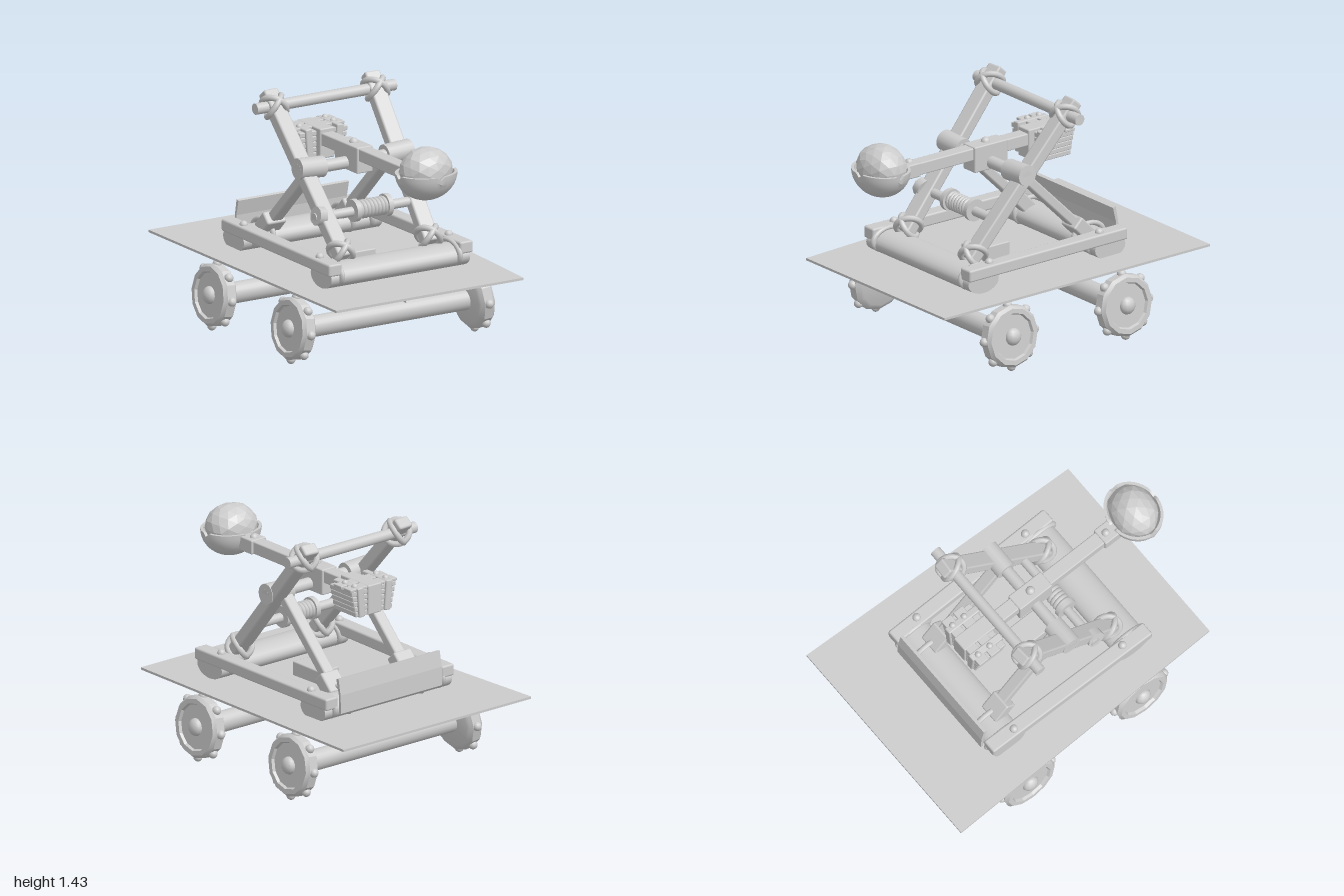
import * as THREE from 'three';
import { toCreasedNormals } from 'three/addons/utils/BufferGeometryUtils.js';
import { RoundedBoxGeometry } from 'three/addons/geometries/RoundedBoxGeometry.js';

const V = (x, y, z) => new THREE.Vector3(x, y, z);
const mat = new THREE.MeshStandardMaterial({ color: 0xcccccc });
const flat = new THREE.MeshStandardMaterial({ color: 0xcccccc, flatShading: true });
const thin = new THREE.MeshStandardMaterial({ color: 0xcccccc, side: THREE.DoubleSide });

export function createModel() {
  const model = new THREE.Group();
  model.name = 'catapult';

  const add = (name, geo, pos = V(0, 0, 0), m = mat, parent = model) => {
    const mesh = new THREE.Mesh(geo, m);
    mesh.name = name;
    mesh.position.copy(pos);
    parent.add(mesh);
    return mesh;
  };
  const box = (name, w, h, d, x, y, z, bevel = 0.008) =>
    add(name, new RoundedBoxGeometry(w, h, d, 1, bevel), V(x, y, z));
  // Cylinder lying along x, from x0 to x1
  const rod = (name, r, x0, x1, y, z, sides = 20) => {
    const mesh = add(name, new THREE.CylinderGeometry(r, r, x1 - x0, sides), V((x0 + x1) / 2, y, z));
    mesh.rotation.z = Math.PI / 2;
    return mesh;
  };
  // Squared beam between two points
  const beam = (name, a, b, w, h) => {
    const mesh = add(name, new RoundedBoxGeometry(w, h, a.distanceTo(b), 1, 0.012), a.clone().add(b).multiplyScalar(0.5));
    mesh.lookAt(b);
    return mesh;
  };
  const bolt = (x, y, z, r = 0.025, parent = model) =>
    add('bolt', new THREE.SphereGeometry(r, 12, 8), V(x, y, z), mat, parent);
  // Two rope rings crossing over a joint between a post and a crossbar
  const lashing = (p, dir, r) => [-1, 1].forEach((s) => {
    const ring = add('ropeLashing', new THREE.TorusGeometry(r, 0.018, 8, 24), p);
    ring.quaternion.setFromUnitVectors(V(0, 0, 1), dir.clone().add(V(s * 0.9, 0, 0)).normalize());
  });

  // Sloping, tapered deck
  const deck = new THREE.BoxGeometry(2, 0.014, 1.88);
  const dp = deck.attributes.position;
  for (let i = 0; i < dp.count; i++) {
    const t = (0.94 - dp.getZ(i)) / 1.88;
    dp.setX(i, dp.getX(i) * (0.635 + 0.06 * t));
    dp.setY(i, dp.getY(i) + 0.424 + 0.04 * t);
  }
  deck.translate(0, 0, -0.06);
  add('deck', toCreasedNormals(deck, 0.5));

  // Wheels leaning inward at the top, with studs round the tread and a hub cap
  const wheelProfile = [[0, -0.05], [0.15, -0.05], [0.168, -0.042], [0.185, -0.028], [0.185, 0.028],
    [0.168, 0.048], [0.14, 0.048], [0.132, 0.032], [0, 0.032]].map(([r, x]) => new THREE.Vector2(r, x));
  const wheelGeo = toCreasedNormals(new THREE.LatheGeometry(wheelProfile, 12).rotateZ(-Math.PI / 2), 0.45);
  for (const z of [0.385, -0.445]) {
    rod('axle', 0.062, -0.58, 0.58, 0.197, z, 24);
    for (const s of [-1, 1]) {
      const wheel = new THREE.Group();
      wheel.name = 'wheel';
      wheel.position.set(s * 0.605, 0.205, z);
      wheel.rotation.set(0, s < 0 ? Math.PI : 0, 0.1);
      add('rim', wheelGeo, V(0, 0, 0), mat, wheel);
      bolt(0.034, 0, 0, 0.052, wheel).scale.x = 0.75;
      for (let i = 0; i < 8; i++) {
        const a = i * Math.PI / 4;
        bolt(0, 0.182 * Math.cos(a), 0.182 * Math.sin(a), 0.027, wheel);
      }
      model.add(wheel);
    }
  }

  // Beam beneath the deck with a slanted nose, and its strap
  const spine = new THREE.Shape([[0.71, 0.345], [0.67, 0.425], [-0.36, 0.425], [-0.36, 0.355], [0.58, 0.355]]
    .map(([z, y]) => new THREE.Vector2(-z, y)));
  const spineGeo = new THREE.ExtrudeGeometry(spine, { depth: 0.1, bevelEnabled: false });
  add('spineBeam', spineGeo.translate(0, 0, -0.05).rotateY(Math.PI / 2));
  box('spineStrap', 0.15, 0.17, 0.24, 0, 0.445, 0.08);

  // Base frame: two logs carrying two side rails
  for (const z of [0.465, -0.455]) {
    const log = rod('baseLog', 1, -0.47, 0.47, 0.51, z, 24);
    log.scale.set(0.068, 1, 0.11);
  }
  for (const s of [-1, 1]) {
    beam('sideRail', V(s * 0.445, 0.568, 0.58), V(s * 0.43, 0.568, -0.58), 0.09, 0.072);
    for (const z of [0.4, -0.4]) bolt(s * 0.437, 0.605, z);
    for (const z of [0.465, -0.455]) {
      const ring = add('railLashing', new THREE.TorusGeometry(0.085, 0.016, 8, 24), V(s * 0.4, 0.525, z));
      ring.rotation.y = Math.PI / 2;
      ring.scale.set(1.3, 0.8, 1);
    }
  }

  // Bent tailboard
  const board = new THREE.Shape([[0.575, 0.5], [0.592, 0.5], [0.588, 0.61], [0.57, 0.705], [0.55, 0.7], [0.572, 0.61]]
    .map(([x, y]) => new THREE.Vector2(x, y)));
  const boardGeo = new THREE.ExtrudeGeometry(board, { depth: 0.75, bevelEnabled: false });
  add('tailboard', boardGeo.translate(0, 0, -0.375).rotateY(Math.PI / 2));

  // Leaning posts, rear braces and their fittings
  for (const s of [-1, 1]) {
    const foot = V(s * 0.295, 0.585, 0.43), head = V(s * 0.347, 1.41, -0.285);
    const dir = head.clone().sub(foot).normalize();
    beam('post', foot, head, 0.1, 0.072);
    lashing(foot.clone().addScaledVector(dir, 0.04), dir, 0.072);
    lashing(V(s * 0.343, 1.335, -0.225), dir, 0.074);
    beam('brace', V(s * 0.262, 1.03, 0.06), V(s * 0.262, 0.55, -0.43), 0.075, 0.06);
    const shoe = beam('braceShoe', V(s * 0.27, 0.645, -0.33), V(s * 0.27, 0.55, -0.425), 0.13, 0.085);
    shoe.name = 'braceShoe';
    const ring = add('braceLashing', new THREE.TorusGeometry(0.085, 0.016, 8, 24), V(s * 0.27, 0.525, -0.455));
    ring.rotation.y = Math.PI / 2;
    ring.scale.set(1.25, 0.9, 1);
    const collar = rod('pivotCollar', 0.062, s * 0.295 - 0.085, s * 0.295 + 0.085, 1.035, 0.075, 16);
    collar.rotation.z += s * 0.05;
  }
  rod('topBar', 0.033, -0.47, 0.475, 1.335, -0.23);
  rod('pivotBar', 0.036, -0.38, 0.38, 1.03, 0.078);

  // Winch with rope coil, flanges and crank block
  rod('winchBar', 0.028, -0.38, 0.3, 0.79, 0.25);
  for (const s of [-1, 1]) rod('winchFlange', 0.066, s * 0.108 - 0.015, s * 0.108 + 0.015, 0.795, 0.25);
  for (let i = 0; i < 8; i++) {
    const turn = add('ropeTurn', new THREE.TorusGeometry(0.042, 0.014, 8, 20), V(-0.084 + i * 0.024, 0.795, 0.25));
    turn.rotation.y = Math.PI / 2 + 0.08;
  }
  const crank = rod('crank', 0.056, -0.375, -0.325, 0.8, 0.26, 8);
  crank.rotation.z -= 0.2;

  // Throwing arm with pivot block and end sleeve
  box('throwingArm', 0.085, 0.075, 1.1, 0, 1.098, 0.16);
  box('pivotBlock', 0.11, 0.155, 0.24, 0, 1.065, 0.08);
  box('armSleeve', 0.11, 0.085, 0.12, 0, 1.1, 0.65);
  bolt(0, 1.14, 0.08, 0.028);
  bolt(0, 1.138, 0.635, 0.025);

  // Counterweight of tapered planks held by straps
  for (let i = 0; i < 5; i++) {
    const y = 0.998 + i * 0.032;
    box('weightPlank', 0.27 + i * 0.014, 0.03, 0.2, 0, y, -0.335, 0.006);
  }
  box('weightCore', 0.1, 0.178, 0.25, 0, 1.07, -0.32);
  for (const z of [-0.4, -0.315]) {
    box('weightTopPlank', 0.345, 0.018, 0.07, 0, 1.148, z, 0.005);
    for (const s of [-1, 1]) bolt(s * 0.115, 1.156, z, 0.02);
  }
  for (const s of [-1, 1]) {
    const strap = box('weightStrap', 0.045, 0.18, 0.225, s * 0.1, 1.07, -0.335);
    strap.rotation.z = -s * 0.08;
  }

  // Open cup with a thick rim, notched front, back and sides
  const cupProfile = [];
  for (let i = 0; i <= 10; i++) cupProfile.push(new THREE.Vector2(Math.sin(i * Math.PI / 20), -Math.cos(i * Math.PI / 20)));
  for (let i = 10; i >= 0; i--) cupProfile.push(new THREE.Vector2(0.9 * Math.sin(i * Math.PI / 20), -0.9 * Math.cos(i * Math.PI / 20)));
  const cupGeo = new THREE.LatheGeometry(cupProfile, 40);
  const cp = cupGeo.attributes.position;
  for (let i = 0; i < cp.count; i++) {
    const a = Math.atan2(cp.getZ(i), cp.getX(i));
    if (cp.getY(i) > -0.2 && Math.abs(Math.sin(2 * a)) < 0.2) cp.setY(i, cp.getY(i) - 0.13);
  }
  const cup = add('cup', toCreasedNormals(cupGeo, 0.7), V(0, 1.15, 0.84), thin);
  cup.scale.set(0.187, 0.165, 0.16);

  // Faceted stone
  const stoneGeo = new THREE.IcosahedronGeometry(1, 2);
  const sp = stoneGeo.attributes.position;
  for (let i = 0; i < sp.count; i++) {
    const p = V(0, 0, 0).fromBufferAttribute(sp, i);
    p.multiplyScalar(0.97 + 0.03 * Math.sin(5 * p.x + 3 * p.y) * Math.cos(4 * p.z + 2 * p.y));
    sp.setXYZ(i, p.x, p.y, p.z);
  }
  stoneGeo.computeVertexNormals();
  const stone = add('stone', stoneGeo, V(0, 1.155, 0.835), flat);
  stone.scale.set(0.166, 0.141, 0.14);

  return model;
}
